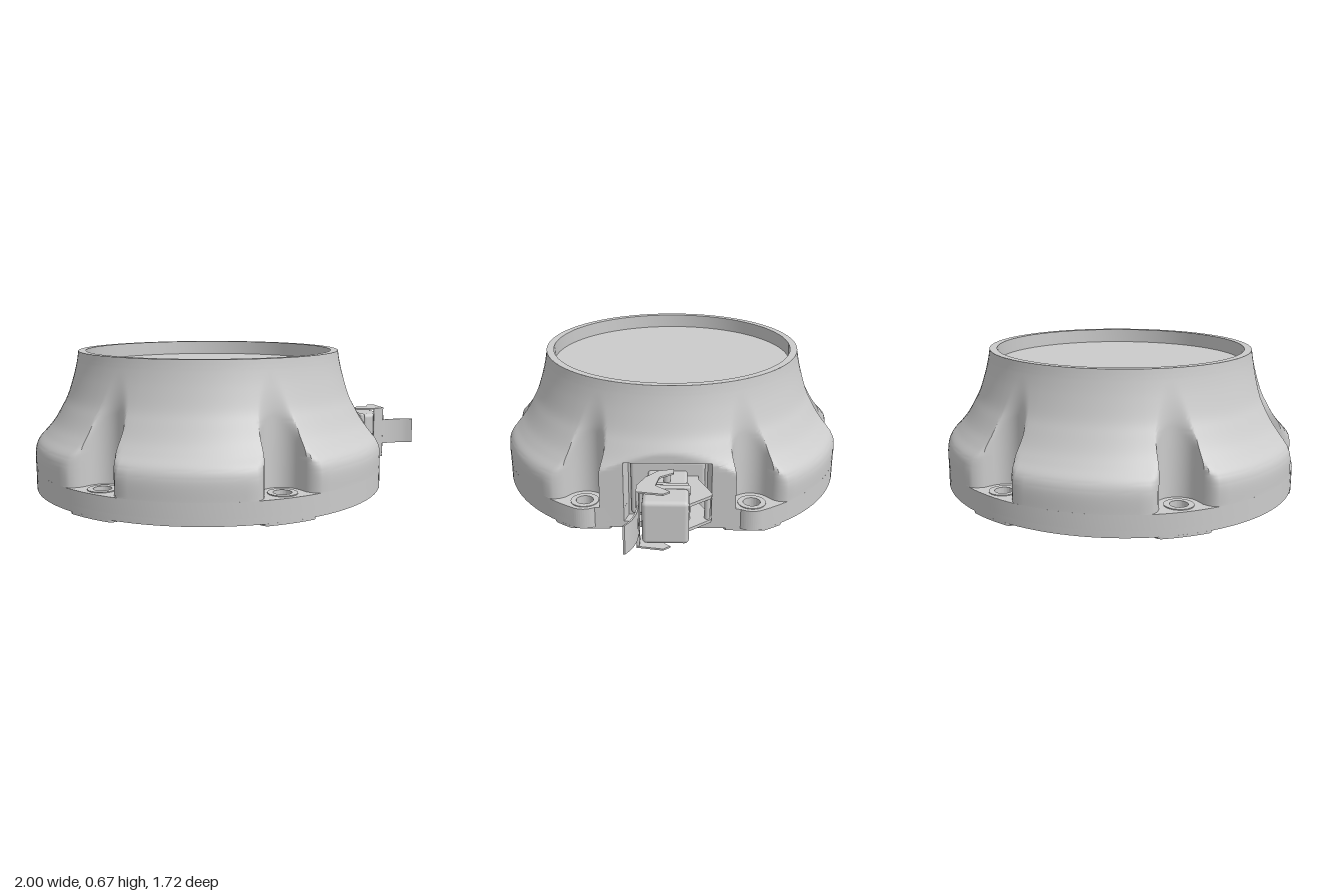
import * as THREE from 'three';
import { toCreasedNormals } from 'three/addons/utils/BufferGeometryUtils.js';
import { RoundedBoxGeometry } from 'three/addons/geometries/RoundedBoxGeometry.js';

const grey = new THREE.MeshStandardMaterial({ color: 0xcccccc });
const greyThin = new THREE.MeshStandardMaterial({ color: 0xcccccc, side: THREE.DoubleSide });
const R = 0.86, BOLT_R = 0.775, FLAT = 0.737, RECESS = 0.67, HOLE = 0.04, SEAT = 0.11;
const TURN = THREE.MathUtils.degToRad(4.4);
const boltAngles = [0, 1, 2, 3, 4, 5].map(i => Math.PI / 6 + i * Math.PI / 3);
const boltSpots = boltAngles.map(a => new THREE.Vector2(Math.cos(a) * BOLT_R, Math.sin(a) * BOLT_R));

function mesh(name, geometry, material = grey) {
  const m = new THREE.Mesh(geometry, material);
  m.name = name;
  return m;
}

// Extrude a plan drawn in (x, z) between two heights
function slab(shape, y0, y1, curveSegments = 48) {
  const g = new THREE.ExtrudeGeometry(shape, { depth: y1 - y0, bevelEnabled: false, curveSegments });
  g.rotateX(Math.PI / 2).translate(0, y1, 0);
  return toCreasedNormals(g, 0.6);
}

const polygon = pts => new THREE.Shape(pts.map(p => new THREE.Vector2(p[0], p[1])));

function drill(shape, spots, r) {
  for (const p of spots) shape.holes.push(new THREE.Path().absarc(p.x, p.y, r, 0, Math.PI * 2, true));
  return shape;
}

// Base plan: circle cut by a flat, with lugs around the two bolts beside it
function basePlan(notched) {
  const s = new THREE.Shape(), d = Math.PI / 6, e = 0.68;
  const lug = boltSpots[0];
  s.moveTo(FLAT, -0.28);
  if (notched) {
    s.lineTo(FLAT, -0.2);
    s.lineTo(RECESS, -0.182);
    s.lineTo(RECESS, 0.182);
    s.lineTo(FLAT, 0.2);
  }
  s.lineTo(FLAT, 0.28);
  s.absarc(lug.x, lug.y, 0.085, -e, d, false);
  s.absarc(0, 0, R, d, Math.PI * 2 - d, false);
  s.absarc(lug.x, -lug.y, 0.085, -d, e, false);
  return drill(s, boltSpots, HOLE);
}

// Foot pad plan: circle around a bolt, kept inside the base outline
function padPlan(spot) {
  const pts = [];
  for (let i = 0; i < 48; i++) {
    const a = i / 48 * Math.PI * 2;
    const p = new THREE.Vector2(spot.x + 0.14 * Math.cos(a), spot.y + 0.14 * Math.sin(a));
    if (p.length() > R) p.setLength(R);
    p.x = Math.min(p.x, FLAT);
    pts.push(p);
  }
  return drill(new THREE.Shape(pts), [spot], HOLE);
}

const smoothMin = (a, b, k) => {
  const h = Math.max(k - Math.abs(a - b), 0) / k;
  return Math.min(a, b) - h * h * k / 4;
};

// Columns of the housing wall: angle and the radius limit given by a bolt pocket
function wallColumns() {
  const half = [];
  for (let i = 0; i <= 8; i++) {
    const f = i / 8 * THREE.MathUtils.degToRad(75);
    half.push([0.095 * Math.sin(f), BOLT_R - 0.095 * Math.cos(f)]);
  }
  half.push([0.1, 0.8], [0.115, 0.825], [0.135, 0.845], [0.16, 0.89]);
  const full = [...half.slice(1).reverse().map(([t, r]) => [-t, r]), ...half];
  const edge = Math.atan2(0.16, 0.89), cols = [];
  for (const a of boltAngles) {
    for (const [t, r] of full) cols.push({ a: a + Math.atan2(t, r), limit: Math.hypot(t, r) });
    const start = a + edge, span = Math.PI / 3 - 2 * edge;
    if (a > 5.5) {
      // Connector side: a recess between two sharp edges
      const mid = Math.PI * 2;
      cols.push({ a: mid - 0.3, limit: 9 }, { a: mid - 0.266, limit: 9 });
      for (let i = 0; i <= 12; i++) cols.push({ a: mid - 0.265 + 0.53 * i / 12, limit: 9, recess: true });
      cols.push({ a: mid + 0.266, limit: 9 }, { a: mid + 0.3, limit: 9 });
    } else {
      for (let i = 1; i < 12; i++) cols.push({ a: start + span * i / 12, limit: 9 });
    }
  }
  return cols;
}

// Flared housing wall with bolt pockets and the connector flat
function wallGeometry() {
  const rows = new THREE.SplineCurve([
    [0.86, 0.11], [0.86, 0.19], [0.845, 0.24], [0.805, 0.285], [0.765, 0.335], [0.727, 0.4],
    [0.697, 0.46], [0.668, 0.55], [0.651, 0.62], [0.643, 0.67]
  ].map(p => new THREE.Vector2(...p))).getPoints(54);
  const cols = wallColumns(), n = cols.length, pos = [], index = [];
  rows.forEach((p, j) => {
    for (const c of cols) {
      const plane = c.recess && p.y < 0.335 ? RECESS : FLAT;
      let r = smoothMin(p.x, c.limit, 0.03);
      if (Math.cos(c.a) > 0) r = Math.min(r, plane / Math.cos(c.a));
      pos.push(r * Math.cos(c.a), p.y, r * Math.sin(c.a));
    }
    if (j === 0) return;
    for (let i = 0; i < n; i++) {
      const k = (i + 1) % n, a = (j - 1) * n + i, b = (j - 1) * n + k;
      index.push(a, a + n, b, b, a + n, b + n);
    }
  });
  const g = new THREE.BufferGeometry();
  g.setAttribute('position', new THREE.Float32BufferAttribute(pos, 3));
  g.setIndex(index);
  return toCreasedNormals(g, 0.65);
}

function box(name, x0, x1, y0, y1, z0, z1, r = 0.006) {
  const m = mesh(name, new RoundedBoxGeometry(x1 - x0, y1 - y0, z1 - z0, 2, r));
  m.position.set((x0 + x1) / 2, (y0 + y1) / 2, (z0 + z1) / 2);
  return m;
}

function buildConnector() {
  const g = new THREE.Group();
  g.name = 'connector';
  const Y = 0.19;
  g.add(box('connectorFlange', 0.66, 0.695, 0.055, 0.325, -0.17, 0.17, 0.015));
  // Square plug with stepped collars and end cap
  for (const [name, x0, x1, h, r] of [
    ['plugBody', 0.68, 0.86, 0.09, 0.015], ['plugCollar', 0.825, 0.845, 0.097, 0.006],
    ['plugCollar', 0.857, 0.885, 0.104, 0.008], ['plugCap', 0.88, 1.02, 0.1, 0.02]
  ]) g.add(box(name, x0, x1, Y - h, Y + h, -h, h, r));
  // Latch arms above and below the plug
  const arm = polygon([[0.77, -0.03], [0.81, -0.03], [0.85, 0.03], [0.93, 0.045], [0.985, -0.02],
    [1.01, 0.01], [0.99, 0.125], [0.93, 0.125], [0.85, 0.09], [0.79, 0.04]]);
  const bracket = polygon([[0.68, -0.14], [0.73, -0.14], [0.865, -0.2], [0.885, -0.195], [0.965, -0.1],
    [0.93, -0.085], [0.68, -0.085]]);
  for (const s of [-1, 1]) {
    const ya = Y + s * 0.131, yb = Y + s * 0.058;
    g.add(mesh('latchArm', slab(arm, ya - 0.004, ya + 0.004)));
    g.add(mesh('hingeBracket', slab(bracket, yb - 0.007, yb + 0.007)));
    const pivot = mesh('latchPivot', new THREE.CylinderGeometry(0.016, 0.016, 0.04, 20));
    pivot.position.set(0.8, Y + s * 0.11, 0);
    g.add(pivot);
  }
  const pin = mesh('hingePin', new THREE.CylinderGeometry(0.013, 0.013, 0.13, 20));
  pin.position.set(0.872, Y, -0.178);
  g.add(pin);
  // Latch strap and bent thumb tab
  g.add(box('latchStrap', 0.93, 0.99, 0.055, 0.325, 0.112, 0.125, 0.005));
  const bend = new THREE.SplineCurve([[0.96, 0.118], [1.04, 0.119], [1.11, 0.136], [1.156, 0.162]]
    .map(p => new THREE.Vector2(...p))).getPoints(14);
  const tab = [...bend.map(p => [p.x, p.y - 0.004]), ...bend.reverse().map(p => [p.x, p.y + 0.004])];
  g.add(mesh('thumbTab', slab(polygon(tab), 0.125, 0.257)));
  return g;
}

export function createModel() {
  const model = new THREE.Group();
  model.name = 'housingWithConnector';
  const unit = new THREE.Group();
  unit.name = 'unit';
  unit.position.x = -0.14;
  unit.rotation.y = -TURN;
  model.add(unit);

  // Housing
  unit.add(mesh('basePlate', slab(basePlan(false), 0.01, 0.04)));
  unit.add(mesh('baseBand', slab(basePlan(true), 0.04, SEAT)));
  unit.add(mesh('housingWall', wallGeometry()));
  const rim = [[0.643, 0.67], [0.607, 0.67], [0.607, 0.6]].map(p => new THREE.Vector2(...p));
  unit.add(mesh('topRim', toCreasedNormals(new THREE.LatheGeometry(rim, 96), 0.6)));
  const cover = mesh('recessedCover', new THREE.CircleGeometry(0.607, 96));
  cover.rotation.x = -Math.PI / 2;
  cover.position.y = 0.6;
  unit.add(cover);

  // Bolt seats and foot pads
  for (const p of boltSpots) {
    unit.add(mesh('footPad', slab(padPlan(p), 0, 0.011)));
    const ring = new THREE.Shape().absarc(p.x, p.y, 0.065, 0, Math.PI * 2, false);
    unit.add(mesh('boltSeat', slab(drill(ring, [p], HOLE), SEAT - 0.005, SEAT + 0.004)));
  }

  // Small screws on the underside
  for (const a of [-Math.PI / 3, Math.PI * 2 / 3]) {
    const screw = mesh('bottomScrew', new THREE.TorusGeometry(0.019, 0.006, 8, 24), greyThin);
    screw.rotation.x = Math.PI / 2;
    screw.position.set(Math.cos(a) * BOLT_R, 0.01, Math.sin(a) * BOLT_R);
    unit.add(screw);
  }

  unit.add(buildConnector());
  return model;
}
